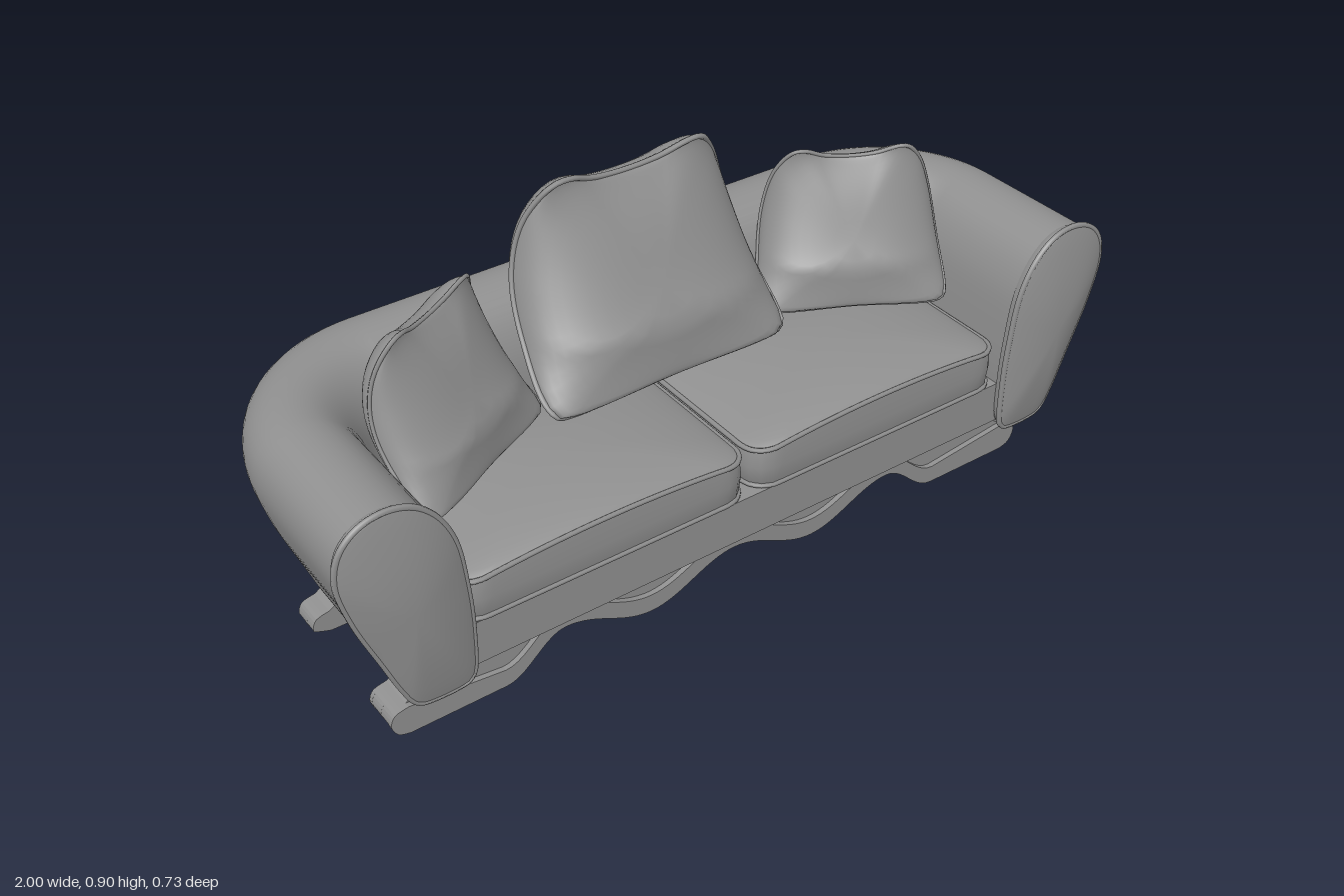
import * as THREE from 'three';
import { mergeVertices } from 'three/addons/utils/BufferGeometryUtils.js';

const material = new THREE.MeshStandardMaterial({ color: 0x8f8f8f, side: THREE.DoubleSide });
const V2 = ([x, y]) => new THREE.Vector2(x, y);
const V3 = (x, y, z) => new THREE.Vector3(x, y, z);

function mesh(name, geometry, parent) {
  const m = new THREE.Mesh(geometry, material);
  m.name = name;
  parent.add(m);
  return m;
}

// Skin a list of closed rings (counter-clockwise, seen from the last ring)
function loft(rings) {
  const n = rings[0].length, index = [];
  for (let i = 0; i < rings.length - 1; i++) {
    for (let j = 0; j < n; j++) {
      const k = (j + 1) % n;
      const a = i * n + j, b = i * n + k, c = a + n, d = b + n;
      index.push(a, b, d, a, d, c);
    }
  }
  let g = new THREE.BufferGeometry().setFromPoints(rings.flat());
  g.setIndex(index);
  g = mergeVertices(g);
  g.computeVertexNormals();
  return g;
}

// Smooth closed outline through a few points
function outline(points, count) {
  const curve = new THREE.CatmullRomCurve3(points.map(([x, y]) => V3(x, y, 0)), true, 'centripetal');
  return curve.getSpacedPoints(count).slice(0, count);
}

// Shrink an outline about its centre, turning it into an ellipse on the way in
function shrink(points, s, cx, cy, rx, ry) {
  return points.map(p => {
    const a = Math.atan2((p.y - cy) / ry, (p.x - cx) / rx);
    const x = THREE.MathUtils.lerp(rx * Math.cos(a), p.x - cx, s);
    const y = THREE.MathUtils.lerp(ry * Math.sin(a), p.y - cy, s);
    return new THREE.Vector2(cx + x * s, cy + y * s);
  });
}

function piping(name, ring, radius, parent) {
  const curve = new THREE.CatmullRomCurve3(ring, true);
  mesh(name, new THREE.TubeGeometry(curve, ring.length * 2, radius, 6, true), parent);
}

// Section of arms and back: distance from the corner centre, height
const section = outline([
  [0.222, 0.155], [0.24, 0.168], [0.262, 0.21], [0.297, 0.3], [0.345, 0.43], [0.366, 0.53],
  [0.352, 0.592], [0.315, 0.63], [0.262, 0.644], [0.21, 0.632], [0.165, 0.592], [0.13, 0.52],
  [0.112, 0.4], [0.106, 0.28], [0.113, 0.168], [0.125, 0.155],
], 64);
const cornerX = 0.62;

function addBody(parent) {
  // Continuous arm, back, arm
  const stations = [[-cornerX, 0.325, Math.PI]];
  const steps = 18;
  for (const side of [-1, 1]) {
    for (let i = 0; i <= steps; i++) {
      const t = (i / steps) * Math.PI / 2;
      stations.push([side * cornerX, 0, side < 0 ? Math.PI - t : Math.PI / 2 - t]);
    }
  }
  stations.push([cornerX, 0.325, 0]);
  mesh('armsAndBack', loft(stations.map(([x, z, a]) =>
    section.map(p => V3(x + p.x * Math.cos(a), p.y, z - p.x * Math.sin(a))))), parent);

  // Domed arm fronts with piped rims
  for (const side of [1, -1]) {
    const arm = new THREE.Group();
    arm.name = side > 0 ? 'leftArmFront' : 'rightArmFront';
    arm.scale.x = side;
    parent.add(arm);
    const ring = (s, z) => section.map(p =>
      V3(cornerX + 0.232 + (p.x - 0.232) * s * 1.03, 0.4 + (p.y - 0.4) * s, z));
    const rings = [ring(1.0, 0.31), ring(1.03, 0.322), ring(1.03, 0.335)];
    for (const s of [1, 0.85, 0.65, 0.45, 0.25, 0]) rings.push(ring(s, 0.338 + 0.028 * (1 - s * s)));
    mesh('armPanel', loft(rings), arm);
    piping('armPiping', ring(1.025, 0.332), 0.007, arm);
  }

  // Seat base
  const base = mesh('seatBase', new THREE.BoxGeometry(1.49, 0.11, 0.46), parent);
  base.position.set(0, 0.21, 0.078);
}

function addSeatCushion(name, cx, parent) {
  const w = 0.358, d = 0.22, r = 0.06, cz = 0.09;
  const group = new THREE.Group();
  group.name = name;
  parent.add(group);
  const shape = new THREE.Shape();
  [[1, -1], [1, 1], [-1, 1], [-1, -1]].forEach(([sx, sy], i) => {
    const a = (i - 1) * Math.PI / 2;
    shape.absarc(sx * (w - r), sy * (d - r), r, a, a + Math.PI / 2, false);
  });
  shape.closePath();
  const plan = shape.getSpacedPoints(80).slice(0, 80);
  const ring = (s, y, bow = 0, grow = 1) => shrink(plan, s, 0, 0, w, d).map(p =>
    V3(cx + p.x * grow, y + bow * (1 - (p.x / w) ** 2), cz - p.y * grow));
  const seam = ring(1, 0.365, 0.022);
  const rings = [ring(0, 0.26), ring(0.96, 0.26), ring(1, 0.272), ring(1, 0.32, 0, 1.012), seam];
  for (const s of [0.985, 0.95, 0.88, 0.78, 0.65, 0.5, 0.3, 0]) {
    rings.push(ring(s, 0.365 + 0.042 * Math.pow(1 - s * s, 0.65), 0.022));
  }
  mesh('cushion', loft(rings), group);
  piping('topPiping', seam, 0.006, group);
  piping('bottomPiping', ring(1, 0.272), 0.006, group);
}

// Leaning pillow with two pointed upper corners
function addPillow(name, parent) {
  const group = new THREE.Group();
  group.name = name;
  parent.add(group);
  const shape = outline([
    [-0.315, 0.437], [0, 0.435], [0.29, 0.437], [0.307, 0.46], [0.298, 0.58], [0.272, 0.73], [0.23, 0.84],
    [0.18, 0.895], [0.145, 0.895], [0.08, 0.873], [-0.01, 0.865], [-0.1, 0.875], [-0.16, 0.897],
    [-0.2, 0.893], [-0.25, 0.83], [-0.292, 0.7], [-0.315, 0.56], [-0.328, 0.46],
  ], 80);
  // Seam curve seen from the side; the front swells most in the middle
  const surface = (y, a) => {
    const u = THREE.MathUtils.clamp((y - 0.44) / 0.46, 0, 1);
    const seam = 0.02 - 0.61 * u + 0.45 * u * u;
    const front = 0.15 * (1 - u ** 4) * Math.min(1, 0.45 + 2 * u);
    return seam + Math.sin(a) * (a > 0 ? front : 0.095);
  };
  const ring = a => {
    const s = Math.pow(Math.max(0, Math.cos(a)), 0.7);
    return shrink(shape, s, -0.01, 0.64, 0.28, 0.23).map(p => V3(p.x, p.y, surface(p.y, a)));
  };
  const rings = [];
  for (let i = -12; i <= 12; i++) rings.push(ring(i / 12 * Math.PI / 2));
  mesh('pillowBody', loft(rings), group);
  piping('pillowPiping', ring(0), 0.007, group);
  return group;
}

// Height of the wavy lower edge at a distance from the middle
const waveY = x => x < 0.45
  ? 0.054 + 0.036 * Math.cos(2 * Math.PI * x / 0.45)
  : 0.046 + 0.044 * Math.cos(Math.PI * (x - 0.45) / 0.15);

function railShape(lift, band) {
  const wave = offset => Array.from({ length: 41 }, (_, i) => [i * 0.015, waveY(i * 0.015) + offset]);
  const end = new THREE.SplineCurve([
    [0.83, 0.002 + lift], [0.858, 0.012 + lift], [0.872, 0.04], [0.862, 0.066], [0.83, 0.075],
  ].map(V2)).getPoints(16).map(p => [p.x, p.y]);
  const upper = band
    ? wave(0.046).reverse()
    : [[0.81, 0.088], [0.79, 0.11], [0.785, 0.132], [0.77, 0.157], [0, 0.157]];
  const half = [...wave(lift), ...end, ...upper];
  const left = half.slice(1, -1).reverse().map(([x, y]) => [-x, y]);
  return new THREE.Shape([...half, ...left].map(V2));
}

function addRail(name, parts, parent) {
  const group = new THREE.Group();
  group.name = name;
  group.position.x = -0.012;
  parent.add(group);
  for (const [part, z0, z1, lift, band] of parts) {
    const g = new THREE.ExtrudeGeometry(railShape(lift, band), { depth: z1 - z0, bevelEnabled: false });
    mesh(part, g, group).position.z = z0;
  }
}

function addFrame(parent) {
  addRail('frontRail', [
    ['railCore', 0.172, 0.245, 0.02, false],
    ['railBackPlate', 0.164, 0.175, 0, false],
    ['railMiddlePlate', 0.202, 0.214, 0.006, false],
    ['railFrontBand', 0.243, 0.258, 0, true],
  ], parent);
  addRail('backRail', [
    ['railCore', -0.165, -0.095, 0.018, false],
    ['railMiddlePlate', -0.136, -0.124, 0.006, false],
  ], parent);

  // Arched boards joining the rails
  const board = new THREE.Shape();
  board.moveTo(-0.1, 0.157);
  board.lineTo(-0.1, 0.078);
  board.bezierCurveTo(-0.03, 0.078, -0.02, 0.102, 0.03, 0.102);
  board.bezierCurveTo(0.08, 0.102, 0.1, 0.078, 0.17, 0.078);
  board.lineTo(0.17, 0.157);
  for (const side of [-1, 1]) {
    const g = new THREE.ExtrudeGeometry(board, { depth: 0.03, bevelEnabled: false });
    g.rotateY(-Math.PI / 2);
    mesh('endBoard', g, parent).position.x = side * 0.755 + 0.003;
  }
}

export function createModel() {
  const sofa = new THREE.Group();
  sofa.name = 'sofa';
  addBody(sofa);
  addSeatCushion('leftSeatCushion', 0.362, sofa);
  addSeatCushion('rightSeatCushion', -0.372, sofa);

  addPillow('middlePillow', sofa);
  for (const [name, x, z, turn] of [['leftPillow', 0.5, 0.04, -0.49], ['rightPillow', -0.52, 0.06, 0.49]]) {
    const pillow = addPillow(name, sofa);
    pillow.scale.set(0.7, 0.76, 0.68);
    pillow.position.set(x, 0.112, z);
    pillow.rotation.y = turn;
  }

  addFrame(sofa);
  return sofa;
}
